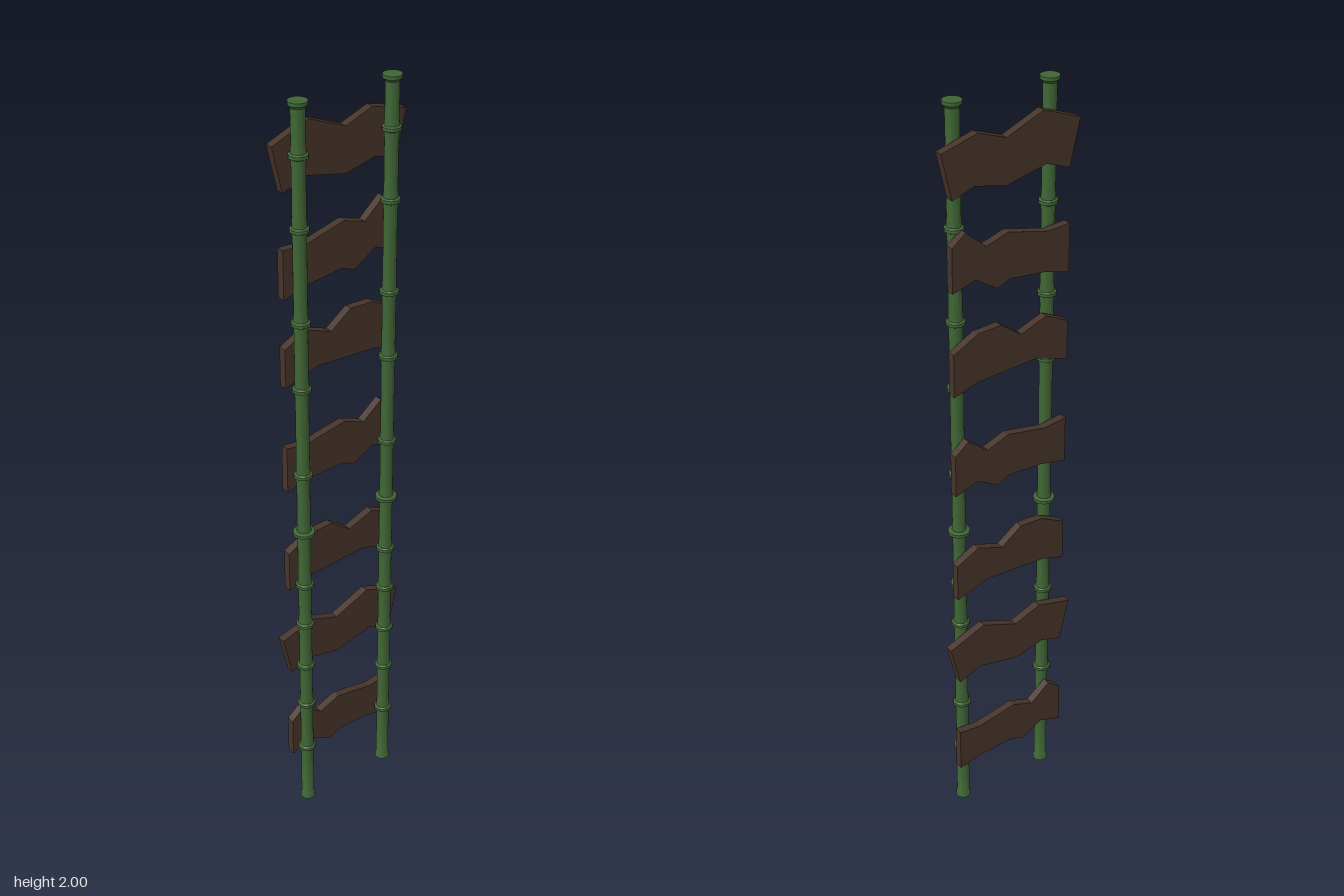
import * as THREE from 'three';
import { toCreasedNormals } from 'three/addons/utils/BufferGeometryUtils.js';

const green = new THREE.MeshStandardMaterial({ color: 0x3f6534 });
const brown = new THREE.MeshStandardMaterial({ color: 0x46342a });

// Heights of the bamboo joints; the rim is widest on the middle one
const joints = [0.18, 0.33, 0.46, 0.595, 0.72, 0.88, 1.05, 1.29, 1.465, 1.7, 1.875];
const rimRadius = (y) => (y === 0.88 ? 0.0275 : 0.023);

// Three plank outlines around their own middle height
const notched = [
  [-0.163, 0.055], [-0.125, 0.086], [-0.07, 0.042], [-0.01, 0.065], [0.1, 0.045], [0.163, 0.053],
  [0.163, -0.072], [0.09, -0.057], [-0.005, -0.053], [-0.04, -0.07], [-0.1, -0.036], [-0.163, -0.058],
];
const wavy = [
  [-0.163, 0.035], [-0.095, 0.07], [-0.03, 0.073], [0.028, 0.031], [0.1, 0.058], [0.163, 0.026],
  [0.163, -0.077], [0.07, -0.048], [-0.1, -0.058], [-0.163, -0.078],
];
const flared = [
  [-0.187, 0.04], [-0.09, 0.066], [-0.015, 0.038], [0.085, 0.079], [0.187, 0.04],
  [0.16, -0.075], [0.095, -0.05], [-0.015, -0.075], [-0.1, -0.055], [-0.16, -0.075],
];

// Rungs from bottom to top: outline, height, mirroring and slope
const rungs = [
  { outline: notched, y: 0.21, flip: 1, slope: 0 },
  { outline: flared, y: 0.51, flip: 1, slope: 0 },
  { outline: wavy, y: 0.78, flip: 1, slope: 0 },
  { outline: notched, y: 1.073, flip: -1, slope: 0 },
  { outline: wavy, y: 1.37, flip: -1, slope: 0 },
  { outline: notched, y: 1.608, flip: -1, slope: 0.07 },
  { outline: flared, y: 1.862, flip: -1, slope: 0 },
];

// Bamboo pole: slim stems that swell into a narrow rim at every joint
function poleGeometry() {
  const profile = [];
  const add = (r, y) => profile.push(new THREE.Vector2(r, y));
  add(0, 0);
  add(0.02, 0);
  add(0.02, 0.008);
  add(0.017, 0.014);
  for (const y of joints) {
    const rim = rimRadius(y);
    add(0.0165, y - 0.03);
    add(0.018, y - 0.007);
    add(rim, y - 0.004);
    add(rim, y + 0.004);
    add(0.018, y + 0.007);
    add(0.0165, y + 0.03);
  }
  add(0.017, 1.985);
  add(0.023, 1.992);
  add(0.023, 2);
  add(0, 2);
  return toCreasedNormals(new THREE.LatheGeometry(profile, 20), 0.6);
}

// Hewn plank cut to an uneven outline
function rungGeometry({ outline, flip, slope }) {
  const corners = outline.map(([x, y]) => new THREE.Vector2(x * flip, y + x * flip * slope));
  return new THREE.ExtrudeGeometry(new THREE.Shape(corners), { depth: 0.021, bevelEnabled: false });
}

export function createModel() {
  const ladder = new THREE.Group();
  ladder.name = 'ladder';

  // Two upright poles
  const geometry = poleGeometry();
  for (const side of [1, -1]) {
    const pole = new THREE.Mesh(geometry, green);
    pole.name = side > 0 ? 'leftPole' : 'rightPole';
    pole.position.set(side * 0.13, 0, 0.005);
    ladder.add(pole);
  }

  // Rungs fixed to the back of the poles
  rungs.forEach((rung, i) => {
    const plank = new THREE.Mesh(rungGeometry(rung), brown);
    plank.name = `rung${i + 1}`;
    plank.position.set(0, rung.y, -0.035);
    ladder.add(plank);
  });

  return ladder;
}
